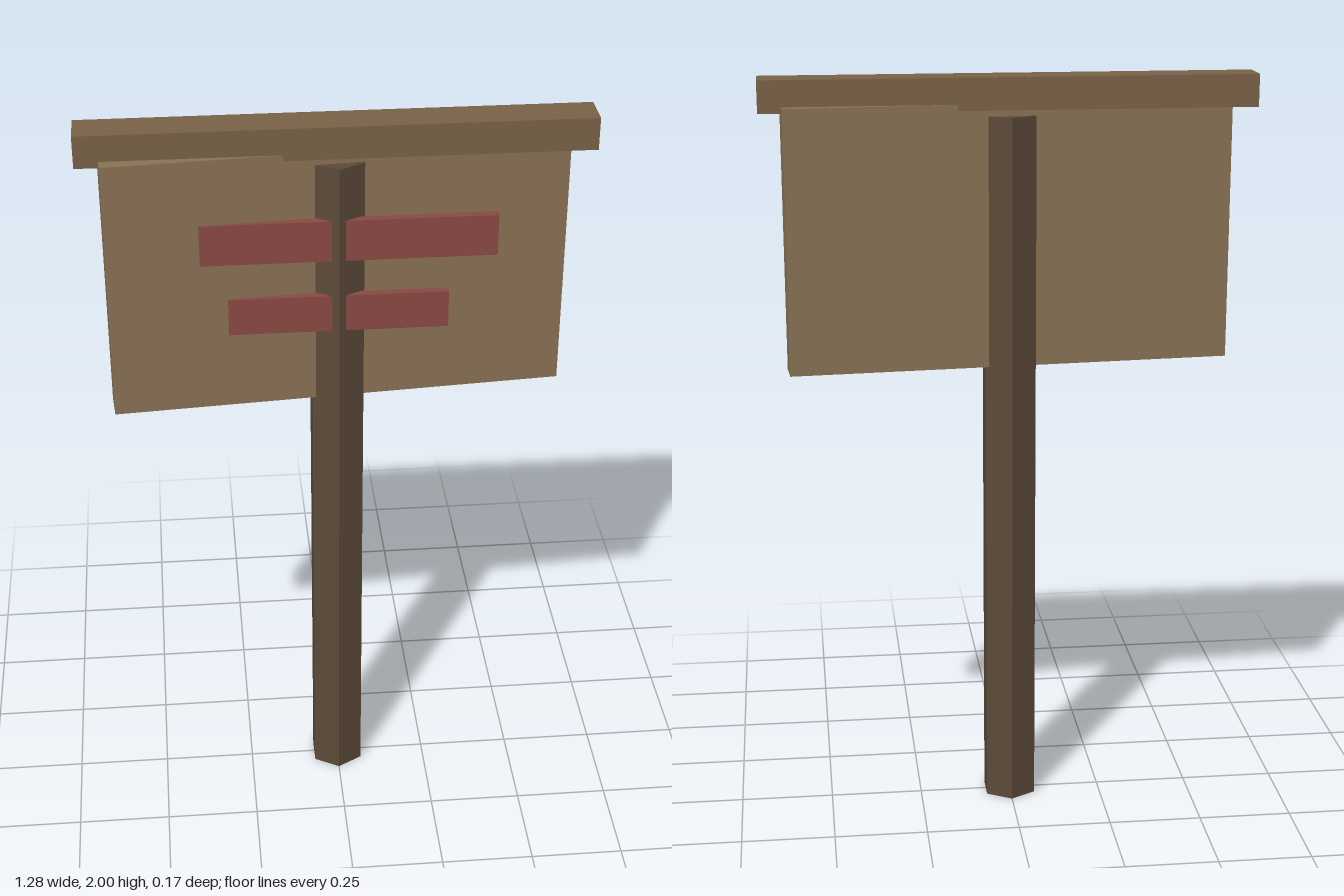
import * as THREE from 'three';

const material = (color) => new THREE.MeshStandardMaterial({ color, flatShading: true });

export function createModel() {
  const group = new THREE.Group();
  group.name = 'signpost';
  const add = (name, geometry, mat, x, y, z) => {
    const mesh = new THREE.Mesh(geometry, mat);
    mesh.name = name;
    mesh.position.set(x, y, z);
    group.add(mesh);
    return mesh;
  };
  const red = material(0x8b4a45);

  // Hexagonal post with a ridge facing front and back
  add('post', new THREE.CylinderGeometry(0.077, 0.077, 1.9, 6), material(0x5c4a3a), 0, 0.95, 0);

  // Sign board, slightly twisted about the post
  const board = add('board', new THREE.BoxGeometry(1.17, 0.69, 0.078), material(0x8b7355), 0, 1.587, 0);
  board.rotation.y = 0.08;

  // Cap beam along the top
  add('capBeam', new THREE.BoxGeometry(1.284, 0.084, 0.1), material(0x7a6248), 0, 1.958, 0);

  // Two red slats on the front
  add('upperSlat', new THREE.BoxGeometry(0.8, 0.11, 0.022), red, 0, 1.703, 0.056);
  add('lowerSlat', new THREE.BoxGeometry(0.56, 0.1, 0.022), red, 0, 1.5, 0.056);

  return group;
}
